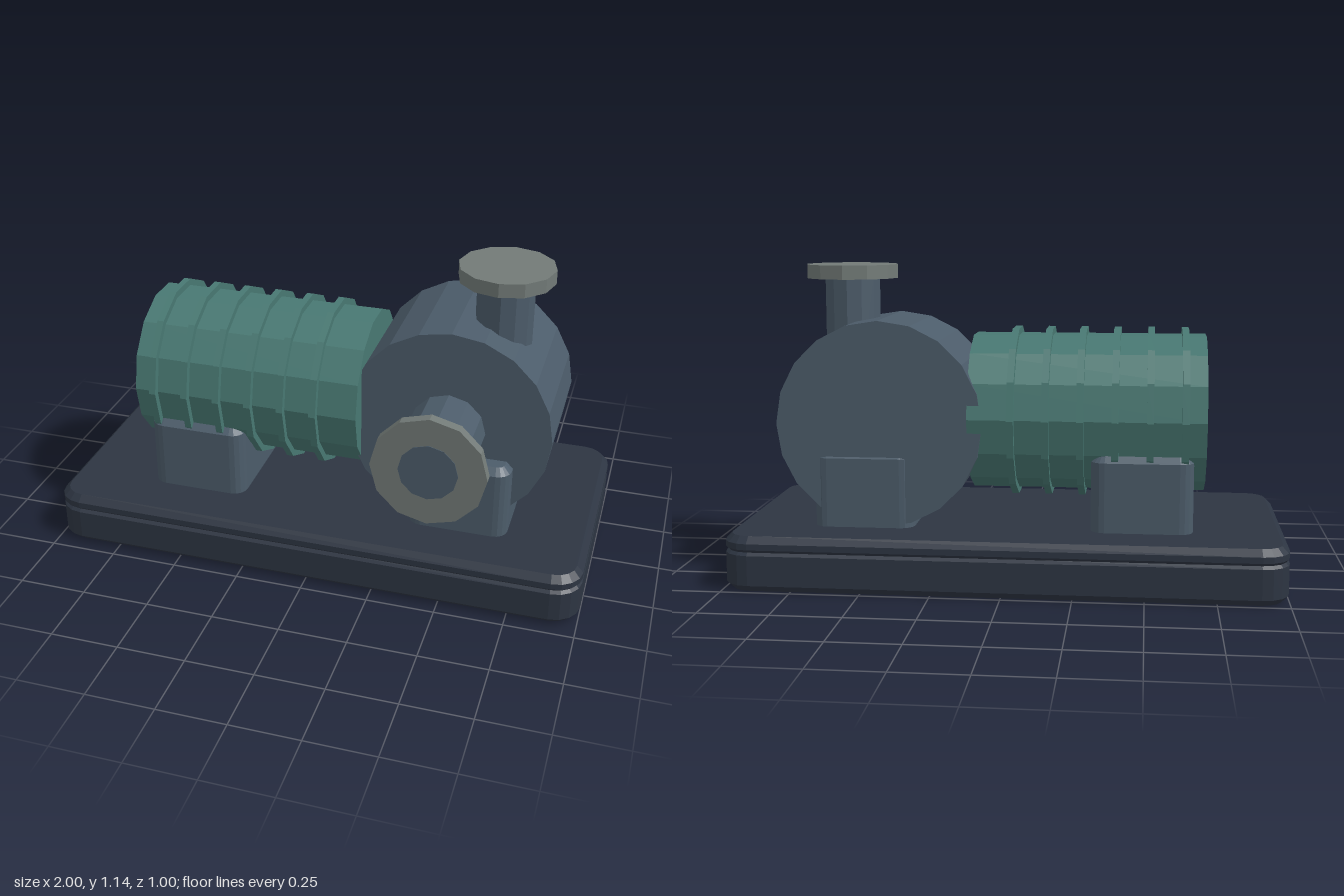
import * as THREE from 'three';

const Z = -0.0225; // centre line of the machine

function material(name, color) {
  const m = new THREE.MeshStandardMaterial({ color });
  m.name = name;
  return m;
}

// Faceted cylinder between two positions along an axis, centred on (x, y, z) otherwise
function drum(axis, radius, from, to, sides) {
  let g = new THREE.CylinderGeometry(radius, radius, to - from, sides);
  g.translate(0, (from + to) / 2, 0);
  if (axis === 'x') g.rotateZ(-Math.PI / 2);
  if (axis === 'z') g.rotateX(Math.PI / 2);
  g = g.toNonIndexed();
  g.computeVertexNormals();
  return g;
}

function roundedRect(w, d, r) {
  const s = new THREE.Shape();
  const x = w / 2 - r, y = d / 2 - r;
  s.absarc(x, y, r, 0, Math.PI / 2);
  s.absarc(-x, y, r, Math.PI / 2, Math.PI);
  s.absarc(-x, -y, r, Math.PI, Math.PI * 1.5);
  s.absarc(x, -y, r, Math.PI * 1.5, Math.PI * 2);
  s.closePath();
  return s;
}

// Upright block with rounded plan corners and bevelled top and bottom edges
function slab(w, d, y0, y1, r, bevel) {
  const g = new THREE.ExtrudeGeometry(roundedRect(w, d, r), {
    depth: y1 - y0 - 2 * bevel, curveSegments: 2,
    bevelEnabled: true, bevelSegments: 1,
    bevelSize: bevel, bevelThickness: bevel, bevelOffset: -bevel,
  });
  g.rotateX(-Math.PI / 2);
  g.translate(0, y0 + bevel, 0);
  return g;
}

export function createModel() {
  const model = new THREE.Group();
  model.name = 'pumpSet';

  const baseDark = material('baseDark', 0x2d3542);
  const motorGreen = material('motorGreen', 0x487872);
  const casingSlate = material('casingSlate', 0x4c5c6a);
  const flangeGrey = material('flangeGrey', 0x727a77);

  const add = (name, geometry, mat, x, y, z) => {
    const mesh = new THREE.Mesh(geometry, mat);
    mesh.name = name;
    mesh.position.set(x, y, z);
    model.add(mesh);
  };

  // Base plinth: two bevelled slabs leave a groove between them
  add('basePlinth', slab(2, 0.955, 0, 0.157, 0.1, 0.024), baseDark, 0, 0, Z);
  add('baseTopPlate', slab(2, 0.955, 0.13, 0.2, 0.1, 0.024), baseDark, 0, 0, Z);

  // Feet under the motor and the pump
  for (const [name, x] of [['motorFoot', -0.487], ['pumpFoot', 0.52]]) {
    add(name, slab(0.367, 0.57, 0.17, 0.478, 0.05, 0.025), casingSlate, x, 0, Z);
  }

  // Motor barrel with cooling ribs
  add('motorBarrel', drum('x', 0.291, -0.713, 0.14, 14), motorGreen, 0, 0.602, Z);
  for (let i = 0; i < 6; i++) {
    const x = -0.637 + i * 0.124;
    add('coolingRib', drum('x', 0.316, x - 0.0125, x + 0.0125, 14), motorGreen, 0, 0.602, Z);
  }

  // Pump casing
  add('pumpCasing', drum('z', 0.375, -0.302, 0.188, 20), casingSlate, 0.46, 0.577, 0);

  // Inlet at the front
  add('inletPipe', drum('z', 0.137, 0.1, 0.47, 12), casingSlate, 0.46, 0.577, 0);
  add('inletFlange', drum('z', 0.205, 0.46, 0.498, 12), flangeGrey, 0.46, 0.577, 0);
  add('inletBore', drum('z', 0.105, 0.494, 0.5, 12), casingSlate, 0.46, 0.577, 0);

  // Outlet at the top
  add('outletPipe', drum('y', 0.104, 0.78, 1.1, 12), casingSlate, 0.606, 0, Z);
  add('outletFlange', drum('y', 0.173, 1.091, 1.142, 12), flangeGrey, 0.606, 0, Z);

  return model;
}
